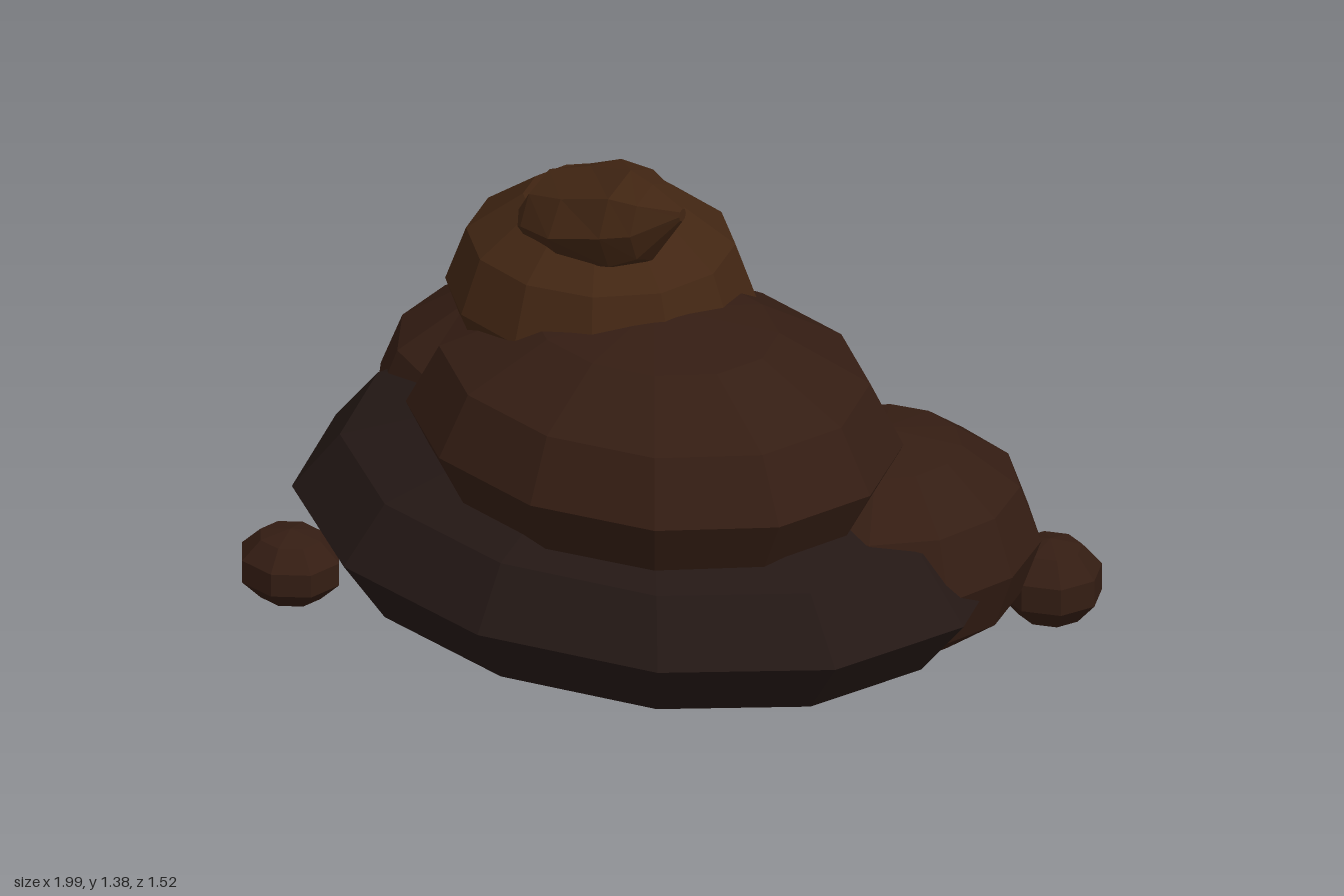
import * as THREE from 'three';

const paint = (color) => new THREE.MeshStandardMaterial({ color, flatShading: true });

// Faceted ellipsoid: centre, radii, turn about y
function blob(name, material, centre, radii, turn = 0, cols = 12, rows = 6) {
  const geometry = new THREE.SphereGeometry(1, cols, rows);
  geometry.rotateY(turn);
  geometry.scale(...radii);
  const mesh = new THREE.Mesh(geometry, material);
  mesh.name = name;
  mesh.position.set(...centre);
  return mesh;
}

// Closed skin over elliptical sections [x, y, z, ry, rz] strung along x
function horn(name, material, sections, sides) {
  const pos = [], index = [];
  for (const [x, y, z, ry, rz] of sections) {
    for (let i = 0; i < sides; i++) {
      const a = (i / sides) * Math.PI * 2;
      pos.push(x, y + Math.sin(a) * ry, z + Math.cos(a) * rz);
    }
  }
  for (let s = 0; s < sections.length - 1; s++) {
    for (let i = 0; i < sides; i++) {
      const j = (i + 1) % sides;
      const a = s * sides + i, b = s * sides + j;
      const c = a + sides, d = b + sides;
      index.push(a, c, b, b, c, d);
    }
  }
  const last = (sections.length - 1) * sides;
  for (let i = 1; i < sides - 1; i++) {
    index.push(0, i, i + 1);
    index.push(last, last + i + 1, last + i);
  }
  const geometry = new THREE.BufferGeometry();
  geometry.setAttribute('position', new THREE.Float32BufferAttribute(pos, 3));
  geometry.setIndex(index);
  geometry.computeVertexNormals();
  const mesh = new THREE.Mesh(geometry, material);
  mesh.material.side = THREE.DoubleSide;
  mesh.name = name;
  return mesh;
}

export function createModel() {
  const group = new THREE.Group();
  group.name = 'softSwirlPile';
  const dark = paint(0x241815);
  const brown = paint(0x341d13);
  const light = paint(0x422613);

  // Stacked mounds, each smaller and lighter than the one below
  group.add(blob('baseMound', dark, [-0.01, 0.33, 0], [0.99, 0.33, 0.76]));
  group.add(blob('middleMound', brown, [0.07, 0.68, 0.09], [0.68, 0.34, 0.55]));
  group.add(blob('upperMound', light, [-0.2, 0.93, -0.05], [0.41, 0.3, 0.38]));

  // Side lobes bulging out of the base
  group.add(blob('rightBackLobe', brown, [-0.55, 0.42, -0.28], [0.44, 0.3, 0.43], 0.28));
  group.add(blob('leftBackLobe', brown, [0.56, 0.37, -0.23], [0.41, 0.31, 0.41]));

  // Loose pebbles beside the base
  group.add(blob('rightFrontPebble', brown, [-0.8, 0.168, 0.48], [0.145, 0.103, 0.135], 0.2, 8, 5));
  group.add(blob('leftBackPebble', brown, [0.855, 0.185, -0.56], [0.145, 0.12, 0.135], 0, 8, 5));

  // Curled tip leaning to the left
  group.add(horn('curledTip', paint(0x422613), [
    [-0.36, 1.13, 0.05, 0.05, 0.06],
    [-0.29, 1.18, 0.05, 0.11, 0.13],
    [-0.17, 1.2, 0.035, 0.13, 0.19],
    [-0.02, 1.24, 0.07, 0.14, 0.14],
    [0.06, 1.26, 0.085, 0.11, 0.1],
    [0.165, 1.32, 0.1, 0.018, 0.015],
  ], 8));

  return group;
}
